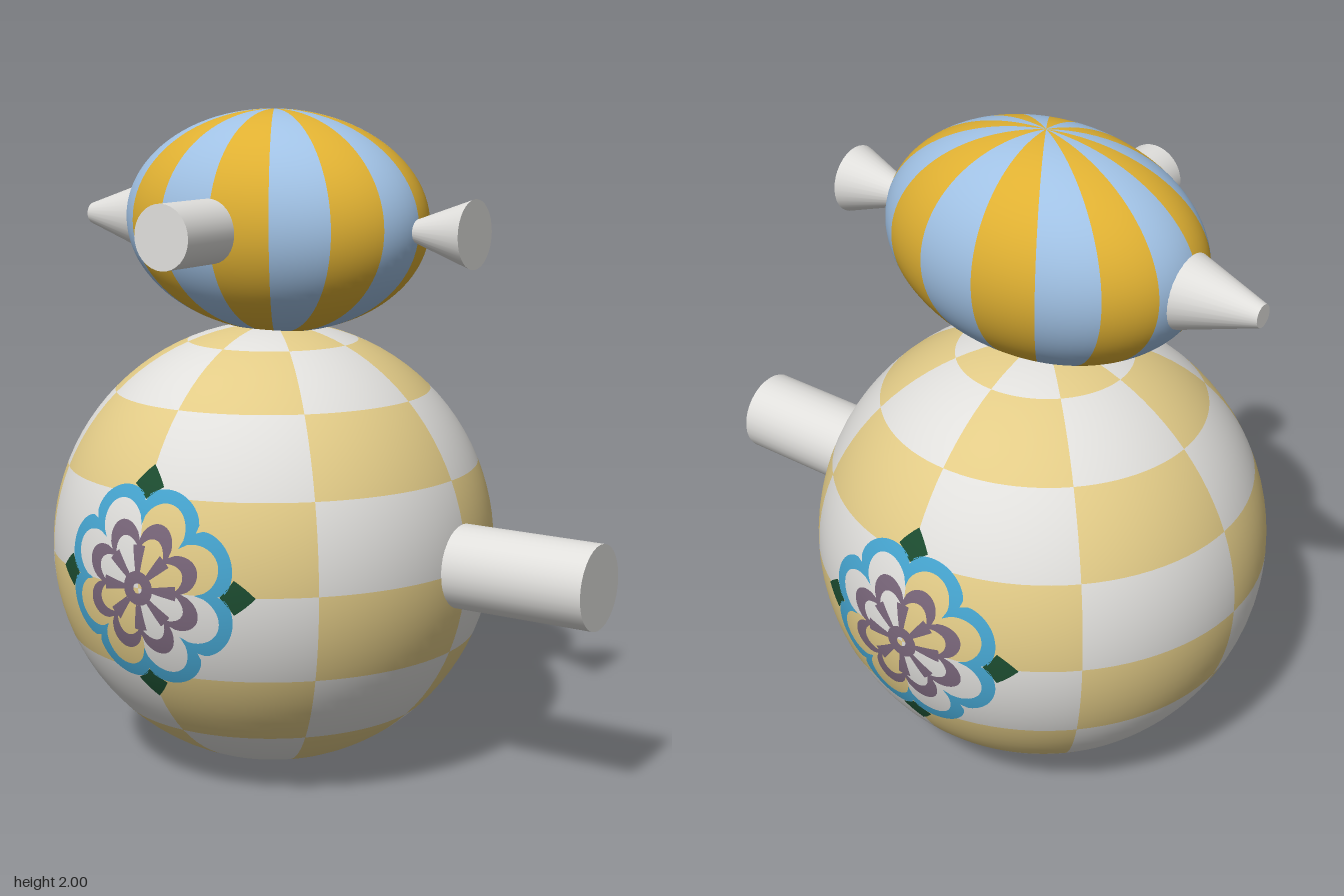
import * as THREE from 'three';
import { mergeGeometries } from 'three/addons/utils/BufferGeometryUtils.js';

const mat = (name, color) => new THREE.MeshStandardMaterial({ name, color });

export function createModel() {
  const white = mat('offWhite', 0xe0dfdc), tan = mat('tan', 0xe2cb87);
  const blue = mat('paleBlue', 0xa0c1e4), gold = mat('gold', 0xdfb032);
  const sky = mat('skyBlue', 0x46a5d0), mauve = mat('mauve', 0x79667a), green = mat('darkGreen', 0x1c4c30);

  const model = new THREE.Group();
  model.name = 'roundFigure';
  const add = (parent, name, geometry, material) => {
    const mesh = new THREE.Mesh(geometry, material);
    mesh.name = name;
    parent.add(mesh);
    return mesh;
  };

  // Sphere cells of one checker colour: alternate sectors and bands
  const checker = (r, sectors, bands, parity, segW, segH) => {
    const cells = [];
    const dp = 2 * Math.PI / sectors, dt = Math.PI / bands;
    for (let i = 0; i < sectors; i++)
      for (let j = 0; j < bands; j++)
        if ((i + (bands > 1 ? j : 0)) % 2 === parity)
          cells.push(new THREE.SphereGeometry(r, segW, segH, i * dp, dp, j * dt, dt));
    return mergeGeometries(cells);
  };

  // Body: checkered ball
  const R = 0.678;
  const body = new THREE.Group();
  body.name = 'body';
  body.position.set(-0.21, 0.683, 0);
  model.add(body);
  add(body, 'bodyTanChecks', checker(R, 8, 8, 1, 12, 6), tan);
  add(body, 'bodyWhiteChecks', checker(R, 8, 8, 0, 12, 6), white);

  // Head: striped ellipsoid
  const head = new THREE.Group();
  head.name = 'head';
  head.position.set(-0.2, 1.668, 0);
  head.scale.set(0.5, 0.332, 0.338);
  model.add(head);
  add(head, 'headGoldStripes', checker(1, 16, 1, 0, 5, 48), gold);
  add(head, 'headBlueStripes', checker(1, 16, 1, 1, 5, 48), blue);

  // Patch hugging the ball, between two radii that vary with the angle
  const patch = (a0, a1, inner, outer, seg) => {
    const g = new THREE.PlaneGeometry(1, 1, seg, 4);
    const p = g.attributes.position, S = R + 0.003;
    for (let i = 0; i < p.count; i++) {
      const a = a1 - (p.getX(i) + 0.5) * (a1 - a0);
      const r = THREE.MathUtils.lerp(inner(a), outer(a), p.getY(i) + 0.5);
      const x = r * Math.cos(a), y = r * Math.sin(a), z = Math.sqrt(S * S - r * r);
      p.setXYZ(i, x, y, z);
      g.attributes.normal.setXYZ(i, x / S, y / S, z / S);
    }
    return g;
  };
  const TAU = 2 * Math.PI;
  const lobe = (a, power) => Math.abs(Math.cos(4 * (a - Math.PI / 8))) ** power;

  // Flower medallions, front and back
  for (const [name, turn] of [['frontFlower', 0], ['backFlower', Math.PI]]) {
    const flower = new THREE.Group();
    flower.name = name;
    flower.rotation.y = turn;
    body.add(flower);
    add(flower, 'petalOutline', patch(0, TAU,
      a => 0.18 + 0.08 * lobe(a, 0.6), a => 0.245 + 0.05 * lobe(a, 0.5), 160), sky);

    // Inner blossom: lobed ring, spokes and small centre ring
    const blossom = [
      patch(0, TAU, a => 0.115 + 0.04 * lobe(a, 1), a => 0.14 + 0.06 * lobe(a, 0.7), 128),
      patch(0, TAU, () => 0.015, () => 0.05, 48),
    ];
    for (let k = 0; k < 8; k++) {
      const c = k * Math.PI / 4;
      blossom.push(patch(c - 0.17, c + 0.17, () => 0.05, () => 0.125, 4));
    }
    add(flower, 'innerBlossom', mergeGeometries(blossom), mauve);

    // Four pointed leaves in the notches between petals
    const leaves = [];
    for (let k = 0; k < 4; k++) {
      const c = k * Math.PI / 2, w = 0.17;
      leaves.push(patch(c - w, c + w,
        a => 0.25 + 0.04 * Math.abs(a - c) / w, a => 0.342 - 0.05 * Math.abs(a - c) / w, 8));
    }
    add(flower, 'leaves', mergeGeometries(leaves), green);
  }

  // Pegs along x, from x0 with radius r0 to x1 with radius r1
  const peg = (name, x0, r0, x1, r1, y) => {
    const g = new THREE.CylinderGeometry(r1, r0, x1 - x0, 32);
    g.rotateZ(-Math.PI / 2);
    add(model, name, g, white).position.set((x0 + x1) / 2, y, 0);
  };
  peg('arm', 0.3, 0.125, 0.895, 0.125, 0.692);
  peg('rightCone', -0.9, 0.033, -0.66, 0.113, 1.66);
  peg('leftCone', 0.26, 0.022, 0.482, 0.1, 1.66);

  // Nose
  const nose = new THREE.CylinderGeometry(0.094, 0.094, 0.3, 32);
  nose.rotateX(Math.PI / 2);
  add(model, 'nose', nose, white).position.set(-0.207, 1.66, 0.4);

  return model;
}
